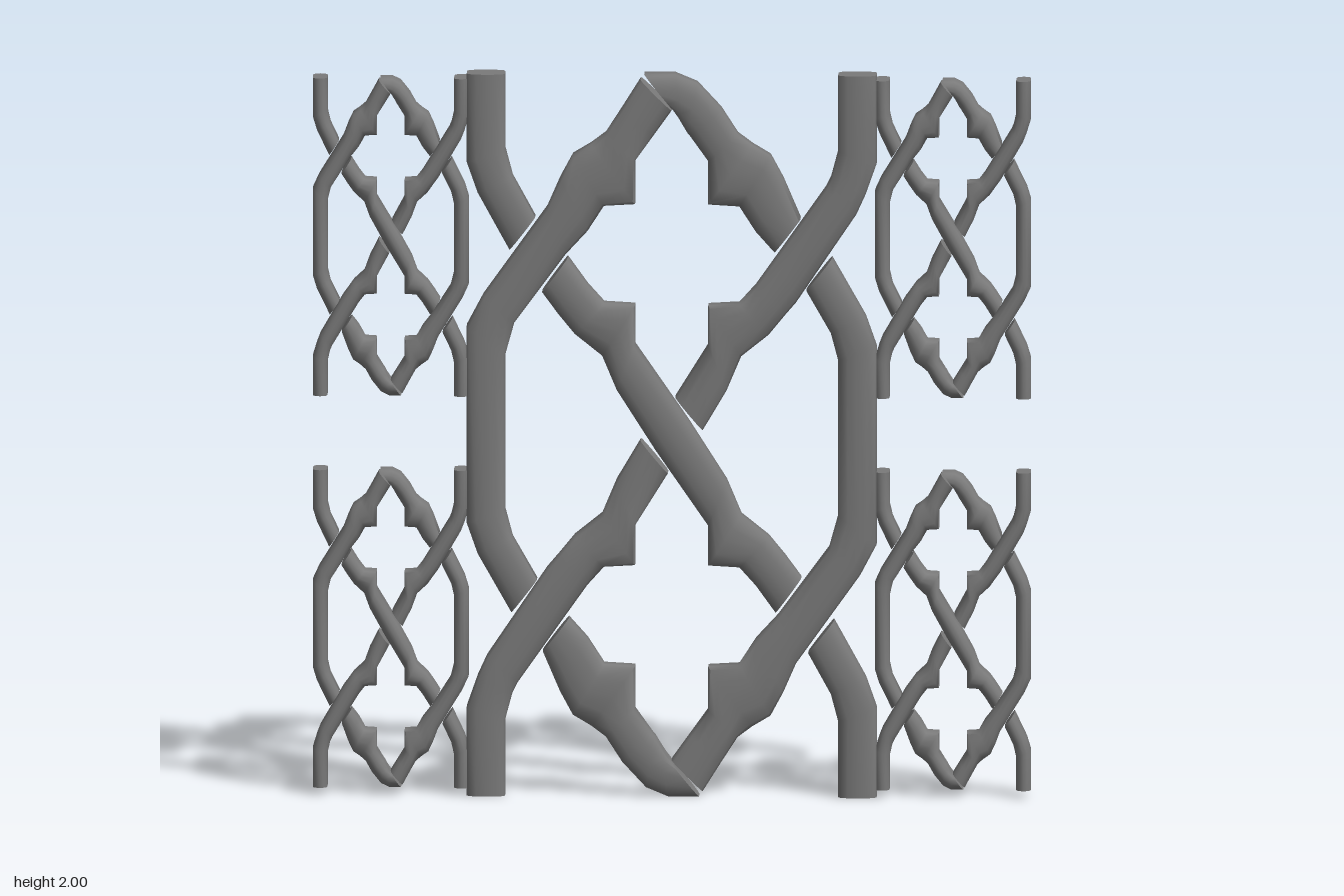
import * as THREE from 'three';
import { toCreasedNormals } from 'three/addons/utils/BufferGeometryUtils.js';

const material = new THREE.MeshStandardMaterial({ color: 0x7a7a7a });

// Half-rounded strand section: [across -1..1, depth -1..1]
const section = [[-1, -0.5], [-0.9, -0.75], [-0.5, -0.94], [0, -1], [0.5, -0.94], [0.9, -0.75], [1, -0.5],
  [1, 0.5], [0.9, 0.75], [0.5, 0.94], [0, 1], [-0.5, 0.94], [-0.9, 0.75], [-1, 0.5]];
const HALF_DEPTH = 0.044;

// Each row holds the two edge points of a strand: [ax, ay, bx, by], about the panel centre
const mirror = rows => rows.map(([ax, ay, bx, by]) => [-bx, by, -ax, ay]);
const turn = rows => rows.map(r => r.map(v => -v));
const turnBack = rows => rows.map(([ax, ay, bx, by]) => [-bx, -by, -ax, -ay]).reverse();

// Straight end of a side strand
const stub = [
  [-0.56, 1, -0.455, 1], [-0.56, 0.755, -0.455, 0.79], [-0.53, 0.67, -0.435, 0.715],
];
// Cusped run at the top of the foil opening
const upperFoil = [
  [-0.135, 0.905, -0.05, 0.83], [-0.18, 0.835, -0.10, 0.76], [-0.22, 0.805, -0.10, 0.64],
  [-0.27, 0.775, -0.185, 0.635], [-0.305, 0.71, -0.23, 0.565],
];
// Cusped run at the bottom of the foil opening
const lowerFoil = [
  [-0.31, 0.335, -0.23, 0.415], [-0.265, 0.28, -0.185, 0.365],
  [-0.19, 0.22, -0.10, 0.36], [-0.15, 0.125, -0.10, 0.25],
];

const sideStrand = [
  [-0.085, 0.985, 0, 0.90], ...upperFoil,
  [-0.34, 0.63, -0.29, 0.50], [-0.515, 0.385, -0.43, 0.31], [-0.56, 0.30, -0.455, 0.22],
  [-0.56, -0.245, -0.455, -0.21], [-0.53, -0.33, -0.435, -0.285], [-0.438, -0.492, -0.368, -0.402],
];
const cornerStrand = [...stub, [-0.443, 0.512, -0.373, 0.602]];
const halfCentre = [[-0.354, 0.395, -0.284, 0.49], ...lowerFoil];
const centreStrand = [...halfCentre, [-0.045, -0.04, 0.045, 0.04], ...turnBack(halfCentre)];
const apexStrand = [
  [0.01, 0.895, -0.075, 1], [0.03, 0.86, 0.01, 1], [0.045, 0.835, 0.07, 0.975],
  ...mirror(upperFoil), [0.281, 0.508, 0.352, 0.60],
];
const crossStrand = [
  ...mirror([...stub, [-0.505, 0.615, -0.42, 0.685], [-0.34, 0.37, -0.29, 0.50], ...lowerFoil]),
  [0.01, 0.105, 0.085, 0.015],
];

// Loft the section along the edge rows and close both ends
function strandGeometry(rows) {
  const pos = [], idx = [], n = section.length;
  for (const [ax, ay, bx, by] of rows) {
    for (const [u, d] of section) {
      const t = (u + 1) / 2;
      pos.push(ax + (bx - ax) * t, ay + (by - ay) * t, d * HALF_DEPTH);
    }
  }
  for (let i = 0; i < rows.length - 1; i++) {
    for (let j = 0; j < n; j++) {
      const k = (j + 1) % n, a = i * n + j, b = i * n + k;
      idx.push(a, a + n, b, b, a + n, b + n);
    }
  }
  const last = (rows.length - 1) * n;
  for (let j = 1; j < n - 1; j++) {
    idx.push(0, j, j + 1);
    idx.push(last, last + j + 1, last + j);
  }
  // Make the faces point outwards
  let volume = 0;
  const p = i => new THREE.Vector3().fromArray(pos, i * 3);
  for (let i = 0; i < idx.length; i += 3) volume += p(idx[i]).dot(p(idx[i + 1]).cross(p(idx[i + 2])));
  if (volume < 0) idx.reverse();
  const g = new THREE.BufferGeometry();
  g.setAttribute('position', new THREE.Float32BufferAttribute(pos, 3));
  g.setIndex(idx);
  return toCreasedNormals(g, 1.2);
}

const strands = [
  ['sideStrandLeft', turn(sideStrand)], ['sideStrandRight', sideStrand],
  ['cornerStrandTop', cornerStrand], ['cornerStrandBottom', turn(cornerStrand)],
  ['apexStrandTop', apexStrand], ['apexStrandBottom', turn(apexStrand)],
  ['crossStrandTop', crossStrand], ['crossStrandBottom', turn(crossStrand)],
  ['centreStrand', centreStrand],
];

export function createModel() {
  const model = new THREE.Group();
  model.name = 'latticeScreen';
  const parts = strands.map(([name, rows]) => [name, strandGeometry(rows)]);

  // One woven panel, placed and scaled
  function addPanel(name, x, y, z, sx, sy) {
    const panel = new THREE.Group();
    panel.name = name;
    for (const [part, geometry] of parts) {
      const mesh = new THREE.Mesh(geometry, material);
      mesh.name = part;
      panel.add(mesh);
    }
    panel.position.set(x, y, z);
    panel.scale.set(sx, sy, 1);
    model.add(panel);
  }

  addPanel('mainPanel', 0, 1, 0.003, 1, 1);
  for (const [side, x] of [['Left', 0.768], ['Right', -0.768]]) {
    addPanel('upperPanel' + side, x, 1.545, -0.01, 0.38, 0.44);
    addPanel('lowerPanel' + side, x, 0.46, -0.01, 0.38, 0.44);
  }
  return model;
}
